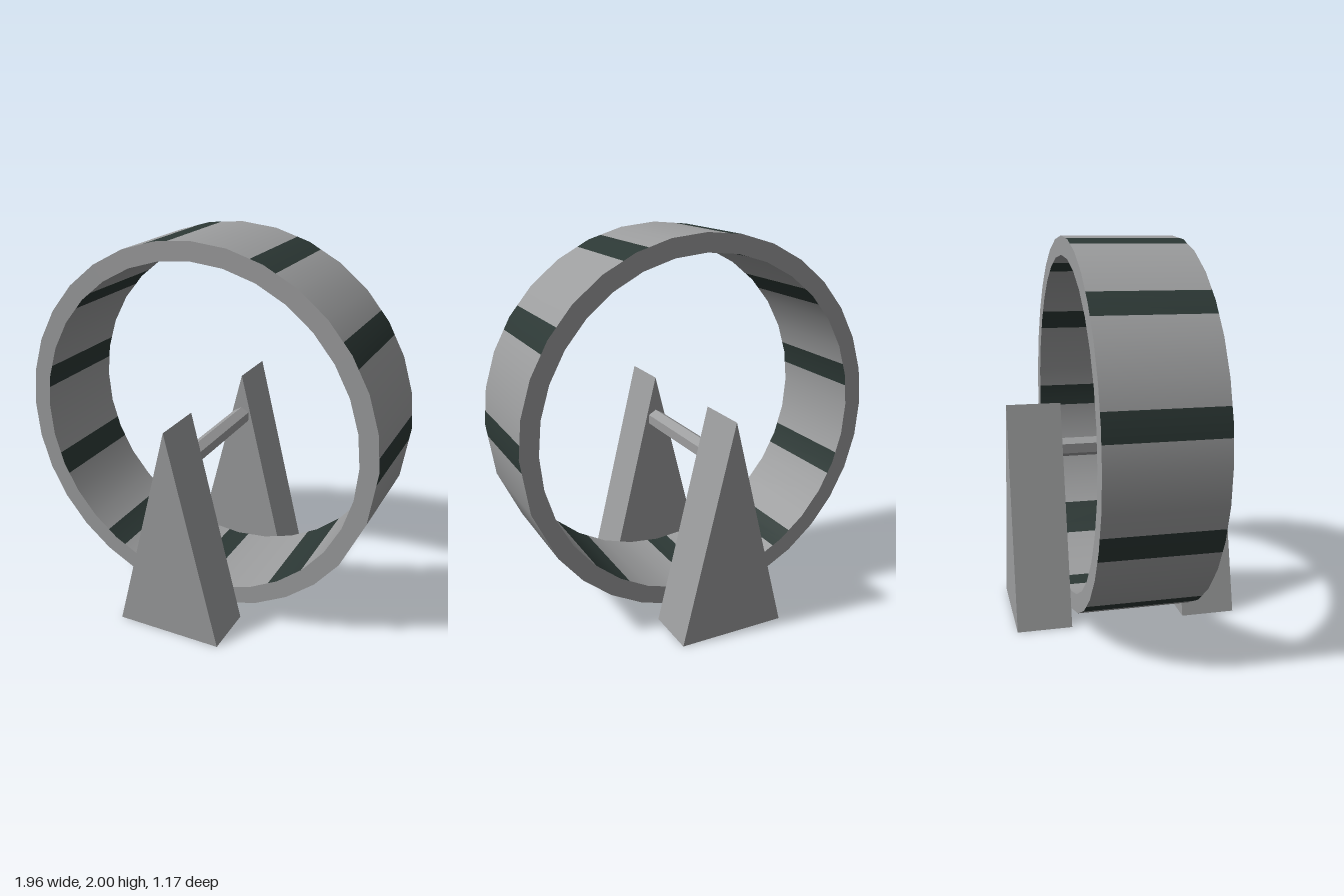
import * as THREE from 'three';

const grey = new THREE.MeshStandardMaterial({ color: 0x9c9d9e });
grey.name = 'grey metal';
const dark = new THREE.MeshStandardMaterial({ color: 0x2c3835 });
dark.name = 'dark green stripe';

const STEP = 11.25, CENTRE_Y = 1.02, FRONT = 0.3, BACK = -0.285;
const OUTER = 0.978, INNER = 0.882;

// Stripe spans in degrees, clockwise from the top as seen from the front
const stripes = [22.5, 56.25, 90, 180, 213.75, 247.5, 281.25, 315, 348.75]
  .map((a) => [a - 4.1, a + 4.1]);
stripes.push([135.5, 150]);

// Corner angles of the rim; the outer edge has one pair of corners merged
const innerCorners = Array.from({ length: 33 }, (_, i) => i * STEP);
const outerCorners = innerCorners.filter((a) => a !== 101.25 && a !== 112.5);
outerCorners.push(106.875);
outerCorners.sort((a, b) => a - b);

const onCircle = (deg, r) => {
  const a = THREE.MathUtils.degToRad(deg);
  return new THREE.Vector2(Math.sin(a) * r, Math.cos(a) * r);
};

// Point on the straight chord between neighbouring corners
function onChord(deg, corners, r) {
  let i = corners.findIndex((c) => c > deg) - 1;
  if (i < 0) i = corners.length - 2;
  const t = (deg - corners[i]) / (corners[i + 1] - corners[i]);
  return onCircle(corners[i], r).lerp(onCircle(corners[i + 1], r), t);
}

// Curved band with smooth radial normals, split into grey and striped strips
function makeBand(name, corners, r, facing) {
  const group = new THREE.Group();
  group.name = name;
  const cuts = [...new Set([...corners, ...stripes.flat()])].sort((a, b) => a - b);
  const data = [{ pos: [], nor: [] }, { pos: [], nor: [] }];
  for (let i = 0; i < cuts.length - 1; i++) {
    const a = cuts[i], b = cuts[i + 1], mid = (a + b) / 2;
    const striped = stripes.some(([s, e]) => mid > s && mid < e);
    const target = data[striped ? 1 : 0];
    const p = onChord(a, corners, r), q = onChord(b, corners, r);
    const order = facing > 0
      ? [[p, FRONT], [q, BACK], [p, BACK], [p, FRONT], [q, FRONT], [q, BACK]]
      : [[p, FRONT], [p, BACK], [q, BACK], [p, FRONT], [q, BACK], [q, FRONT]];
    // The outside band runs clockwise, so its winding is flipped for the front
    const flip = (facing > 0) !== outward(order);
    if (flip) order.reverse();
    for (const [v, z] of order) {
      target.pos.push(v.x, v.y, z);
      const n = v.clone().normalize().multiplyScalar(facing);
      target.nor.push(n.x, n.y, 0);
    }
  }
  data.forEach(({ pos, nor }, i) => {
    const g = new THREE.BufferGeometry();
    g.setAttribute('position', new THREE.Float32BufferAttribute(pos, 3));
    g.setAttribute('normal', new THREE.Float32BufferAttribute(nor, 3));
    const mesh = new THREE.Mesh(g, i ? dark : grey);
    mesh.name = name + (i ? 'Stripes' : 'Surface');
    group.add(mesh);
  });
  return group;
}

// True when the first triangle faces away from the wheel's axis
function outward(order) {
  const [a, b, c] = order.slice(0, 3).map(([v, z]) => new THREE.Vector3(v.x, v.y, z));
  const n = b.clone().sub(a).cross(c.clone().sub(a));
  return n.x * a.x + n.y * a.y > 0;
}

export function createModel() {
  const model = new THREE.Group();
  model.name = 'wheelOnStand';

  // Wheel: outer and inner bands closed by two flat rims
  const wheel = new THREE.Group();
  wheel.name = 'wheel';
  wheel.position.y = CENTRE_Y;
  wheel.add(makeBand('outerBand', outerCorners, OUTER, 1));
  wheel.add(makeBand('innerBand', innerCorners, INNER, -1));

  const rim = new THREE.Shape(outerCorners.slice(0, -1).map((a) => onCircle(a, OUTER)));
  rim.holes.push(new THREE.Path(innerCorners.slice(0, -1).map((a) => onCircle(a, INNER))));
  const frontRim = new THREE.Mesh(new THREE.ShapeGeometry(rim), grey);
  frontRim.name = 'frontRim';
  frontRim.position.z = FRONT;
  const backGeometry = new THREE.ShapeGeometry(rim);
  // Reverse the triangles and normals so the rear rim faces backwards
  backGeometry.index.array.reverse();
  backGeometry.computeVertexNormals();
  const backRim = new THREE.Mesh(backGeometry, grey);
  backRim.name = 'backRim';
  backRim.position.z = BACK;
  wheel.add(frontRim, backRim);
  model.add(wheel);

  // Triangular supports in front of and behind the wheel
  const triangle = new THREE.Shape([
    new THREE.Vector2(-0.285, 0), new THREE.Vector2(0.285, 0), new THREE.Vector2(0, 1.14),
  ]);
  const wedge = new THREE.ExtrudeGeometry(triangle, { depth: 0.285, bevelEnabled: false });
  for (const [name, z] of [['frontSupport', 0.301], ['backSupport', -0.585]]) {
    const support = new THREE.Mesh(wedge, grey);
    support.name = name;
    support.position.z = z;
    model.add(support);
  }

  // Six-sided axle joining the supports
  const axleGeometry = new THREE.CylinderGeometry(0.05, 0.05, 0.66, 6).toNonIndexed();
  axleGeometry.rotateX(-Math.PI / 2);
  axleGeometry.computeVertexNormals();
  const axle = new THREE.Mesh(axleGeometry, grey);
  axle.name = 'axle';
  axle.position.y = 0.9;
  model.add(axle);

  return model;
}
